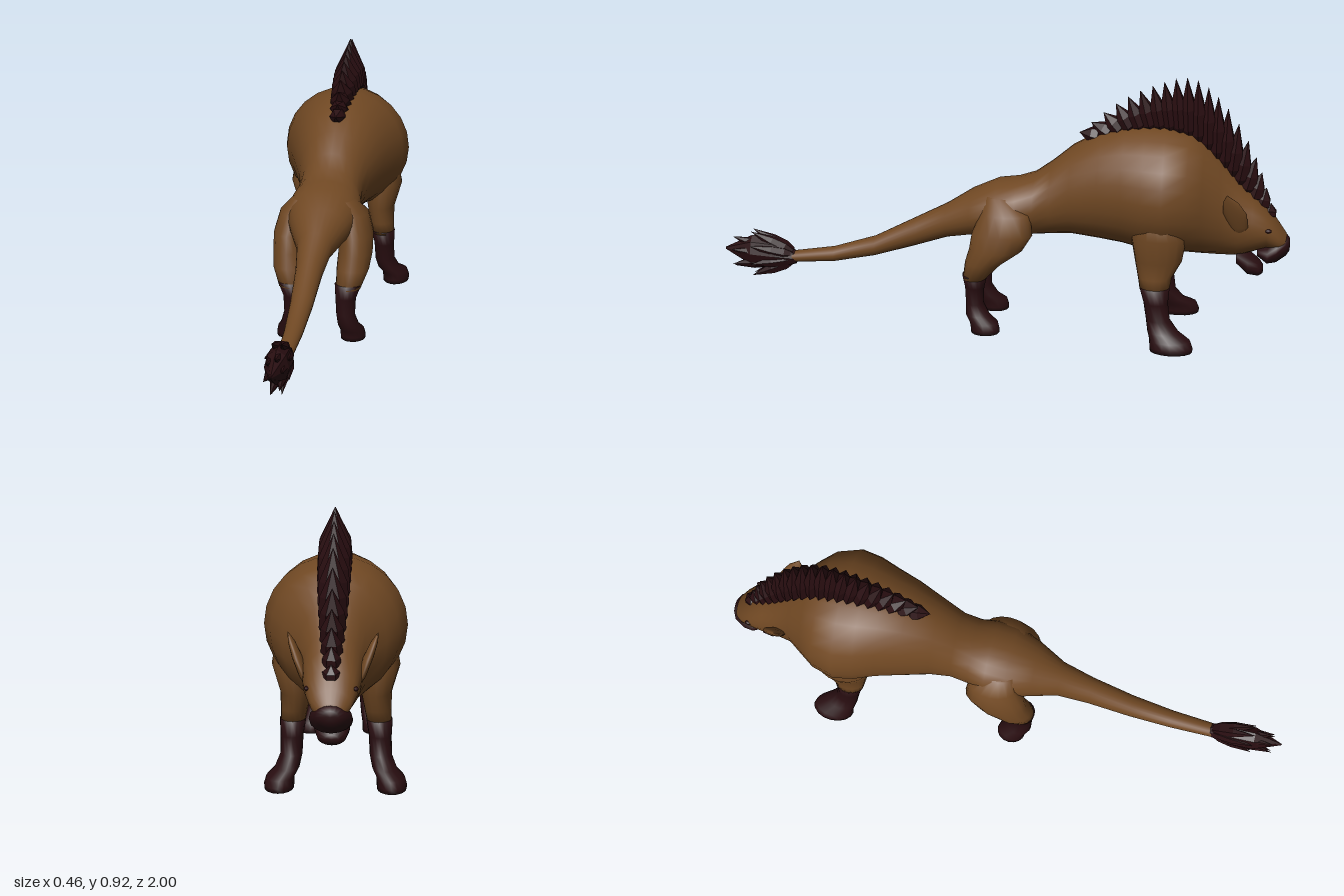
import * as THREE from 'three';

const X = new THREE.Vector3(1, 0, 0), Y = new THREE.Vector3(0, 1, 0), Z = new THREE.Vector3(0, 0, 1);

// Skin over elliptical rings [x, y, z, radiusU, radiusV]; rings advance along U x V.
function loft(rings, U, V, sides = 20, flat = false) {
  const pos = [], idx = [], n = rings.length;
  for (const [x, y, z, ru, rv] of rings) {
    for (let j = 0; j < sides; j++) {
      const a = (j / sides) * Math.PI * 2;
      const p = new THREE.Vector3(x, y, z)
        .addScaledVector(U, ru * Math.cos(a)).addScaledVector(V, rv * Math.sin(a));
      pos.push(p.x, p.y, p.z);
    }
  }
  for (let i = 0; i < n - 1; i++) {
    for (let j = 0; j < sides; j++) {
      const a = i * sides + j, b = i * sides + (j + 1) % sides;
      idx.push(a, b, a + sides, b, b + sides, a + sides);
    }
  }
  // End caps
  const first = pos.length / 3;
  pos.push(...rings[0].slice(0, 3), ...rings[n - 1].slice(0, 3));
  for (let j = 0; j < sides; j++) {
    const k = (j + 1) % sides, e = (n - 1) * sides;
    idx.push(first, k, j, first + 1, e + j, e + k);
  }
  let g = new THREE.BufferGeometry();
  g.setAttribute('position', new THREE.Float32BufferAttribute(pos, 3));
  g.setIndex(idx);
  if (flat) g = g.toNonIndexed();
  g.computeVertexNormals();
  return g;
}

// Faceted, flattened lock of hair from base to tip
function lock(base, tip, width, thick) {
  const d = tip.clone().sub(base);
  const dir = d.clone().normalize();
  const V = dir.clone().cross(X).normalize(), U = V.clone().cross(dir);
  const ring = (s, k) => [...base.clone().addScaledVector(d, s).toArray(), width * k, thick * k];
  return loft([ring(-0.12, 0.6), ring(0.1, 1), ring(0.45, 0.9), ring(1, 0.01)], U, V, 6, true);
}

export function createModel() {
  const model = new THREE.Group();
  const fur = new THREE.MeshStandardMaterial({ color: 0x704823 });
  fur.name = 'brown fur';
  const dark = new THREE.MeshStandardMaterial({ color: 0x280d10 });
  dark.name = 'dark hair';
  const add = (name, geo, mat, parent = model) => {
    const m = new THREE.Mesh(geo, mat);
    m.name = name;
    parent.add(m);
    return m;
  };

  // Head, body and tail in one skin: z, top, bottom, half width
  const body = [
    [-0.995, 0.365, 0.335, 0.02], [-0.985, 0.385, 0.325, 0.04], [-0.96, 0.42, 0.325, 0.062],
    [-0.92, 0.475, 0.335, 0.08], [-0.87, 0.525, 0.315, 0.09], [-0.82, 0.572, 0.30, 0.095],
    [-0.76, 0.645, 0.30, 0.115], [-0.70, 0.705, 0.305, 0.165], [-0.65, 0.738, 0.31, 0.205],
    [-0.57, 0.755, 0.31, 0.23], [-0.50, 0.753, 0.315, 0.217], [-0.43, 0.743, 0.33, 0.19],
    [-0.35, 0.72, 0.34, 0.165], [-0.25, 0.665, 0.35, 0.13], [-0.18, 0.605, 0.345, 0.112],
    [-0.12, 0.56, 0.34, 0.115], [-0.06, 0.538, 0.335, 0.13], [0.01, 0.528, 0.33, 0.13],
    [0.1, 0.488, 0.325, 0.098], [0.19, 0.43, 0.308, 0.06], [0.3, 0.372, 0.27, 0.046],
    [0.45, 0.292, 0.222, 0.038], [0.6, 0.243, 0.19, 0.031], [0.78, 0.213, 0.176, 0.024],
  ].map(([z, t, b, w]) => [0, (t + b) / 2, z, w, (t - b) / 2]);
  add('body', loft(body, X, Y, 24), fur);

  // Dark muzzle and lower jaw
  add('muzzle', loft([
    [0, 0.345, -1, 0.025, 0.02], [0, 0.343, -0.988, 0.048, 0.036], [0, 0.33, -0.955, 0.067, 0.048],
    [0, 0.312, -0.925, 0.066, 0.036], [0, 0.325, -0.89, 0.055, 0.02],
  ], X, Y, 16), dark);
  add('chin', loft([
    [0, 0.25, -0.912, 0.022, 0.014], [0, 0.255, -0.897, 0.045, 0.028],
    [0, 0.272, -0.86, 0.056, 0.04], [0, 0.298, -0.82, 0.05, 0.028],
  ], X, Y, 16), dark);

  // Paired parts, listed for the left side and mirrored in x
  for (const s of [1, -1]) {
    const side = s > 0 ? 'left' : 'right';
    const flip = (rings) => rings.map(([x, ...r]) => [x * s, ...r]);
    const limb = (name, rings, mat) => add(side + name, loft(flip(rings), X, Z, 16), mat);

    limb('FrontLeg', [
      [0.13, 0.50, -0.56, 0.06, 0.07], [0.137, 0.40, -0.56, 0.07, 0.095], [0.13, 0.31, -0.56, 0.05, 0.08],
      [0.135, 0.25, -0.55, 0.044, 0.058], [0.14, 0.205, -0.55, 0.04, 0.05],
    ], fur);
    limb('FrontFoot', [
      [0.14, 0.215, -0.55, 0.043, 0.052], [0.143, 0.16, -0.556, 0.037, 0.042], [0.145, 0.1, -0.565, 0.036, 0.041],
      [0.158, 0.06, -0.585, 0.04, 0.054], [0.178, 0.038, -0.61, 0.046, 0.07],
      [0.182, 0.015, -0.615, 0.049, 0.074], [0.182, 0, -0.615, 0.048, 0.073],
    ], dark);
    limb('HindLeg', [
      [0.07, 0.49, -0.01, 0.04, 0.05], [0.1, 0.44, -0.03, 0.055, 0.085], [0.115, 0.37, -0.02, 0.06, 0.105],
      [0.115, 0.31, 0.003, 0.06, 0.092], [0.112, 0.26, 0.045, 0.057, 0.065], [0.1, 0.195, 0.08, 0.043, 0.04],
    ], fur);
    limb('HindFoot', [
      [0.1, 0.21, 0.078, 0.047, 0.044], [0.092, 0.16, 0.08, 0.036, 0.034], [0.092, 0.1, 0.08, 0.033, 0.031],
      [0.1, 0.06, 0.068, 0.037, 0.042], [0.11, 0.036, 0.045, 0.042, 0.05],
      [0.113, 0.014, 0.04, 0.044, 0.051], [0.113, 0, 0.04, 0.043, 0.05],
    ], dark);
    limb('Ear', [
      [0.14, 0.558, -0.785, 0.001, 0.001], [0.128, 0.53, -0.797, 0.011, 0.026], [0.11, 0.485, -0.812, 0.016, 0.04],
      [0.09, 0.43, -0.825, 0.014, 0.032], [0.08, 0.4, -0.825, 0.006, 0.012],
    ], fur);

    const eye = add(side + 'Eye', new THREE.SphereGeometry(0.01, 10, 8), dark);
    eye.position.set(0.075 * s, 0.415, -0.925);
    eye.scale.set(0.8, 0.7, 1.2);
  }

  // Mane: overlapping locks between a root curve and a tip curve
  const curve = (pts) => new THREE.CatmullRomCurve3(pts.map(([z, y]) => new THREE.Vector3(0, y, z)));
  const roots = curve([[-0.34, 0.70], [-0.45, 0.735], [-0.56, 0.745], [-0.66, 0.72], [-0.76, 0.635], [-0.84, 0.54], [-0.92, 0.45]]);
  const tips = curve([[-0.27, 0.712], [-0.40, 0.825], [-0.53, 0.893], [-0.65, 0.92], [-0.76, 0.835], [-0.87, 0.66], [-0.93, 0.49]]);
  const mane = new THREE.Group();
  mane.name = 'mane';
  model.add(mane);
  const count = 20;
  for (let i = 0; i < count; i++) {
    const t = i / (count - 1);
    const w = 0.03 + 0.025 * Math.sin(Math.PI * Math.min(1, t * 1.05));
    add('maneLock', lock(roots.getPoint(t), tips.getPoint(t), w, 0.032), dark, mane);
  }

  // Tail tuft: a core lock with two rings of flaring locks
  const tuft = new THREE.Group();
  tuft.name = 'tailTuft';
  model.add(tuft);
  add('tuftCore', loft([
    [0, 0.195, 0.74, 0.024, 0.024], [0, 0.205, 0.82, 0.04, 0.06],
    [0, 0.21, 0.9, 0.04, 0.06], [0, 0.215, 1, 0.002, 0.004],
  ], X, Y, 8, true), dark, tuft);
  for (const [n, z0, z1, rx, ry, turn] of [[8, 0.77, 0.9, 0.042, 0.09, 0.5], [6, 0.84, 0.97, 0.03, 0.06, 0.25]]) {
    for (let i = 0; i < n; i++) {
      const a = ((i + turn) / n) * Math.PI * 2, c = Math.cos(a), s = Math.sin(a);
      add('tuftLock', lock(new THREE.Vector3(c * 0.015, 0.2 + s * 0.025, z0),
        new THREE.Vector3(c * rx, 0.205 + s * ry, z1), 0.018, 0.024), dark, tuft);
    }
  }
  return model;
}
